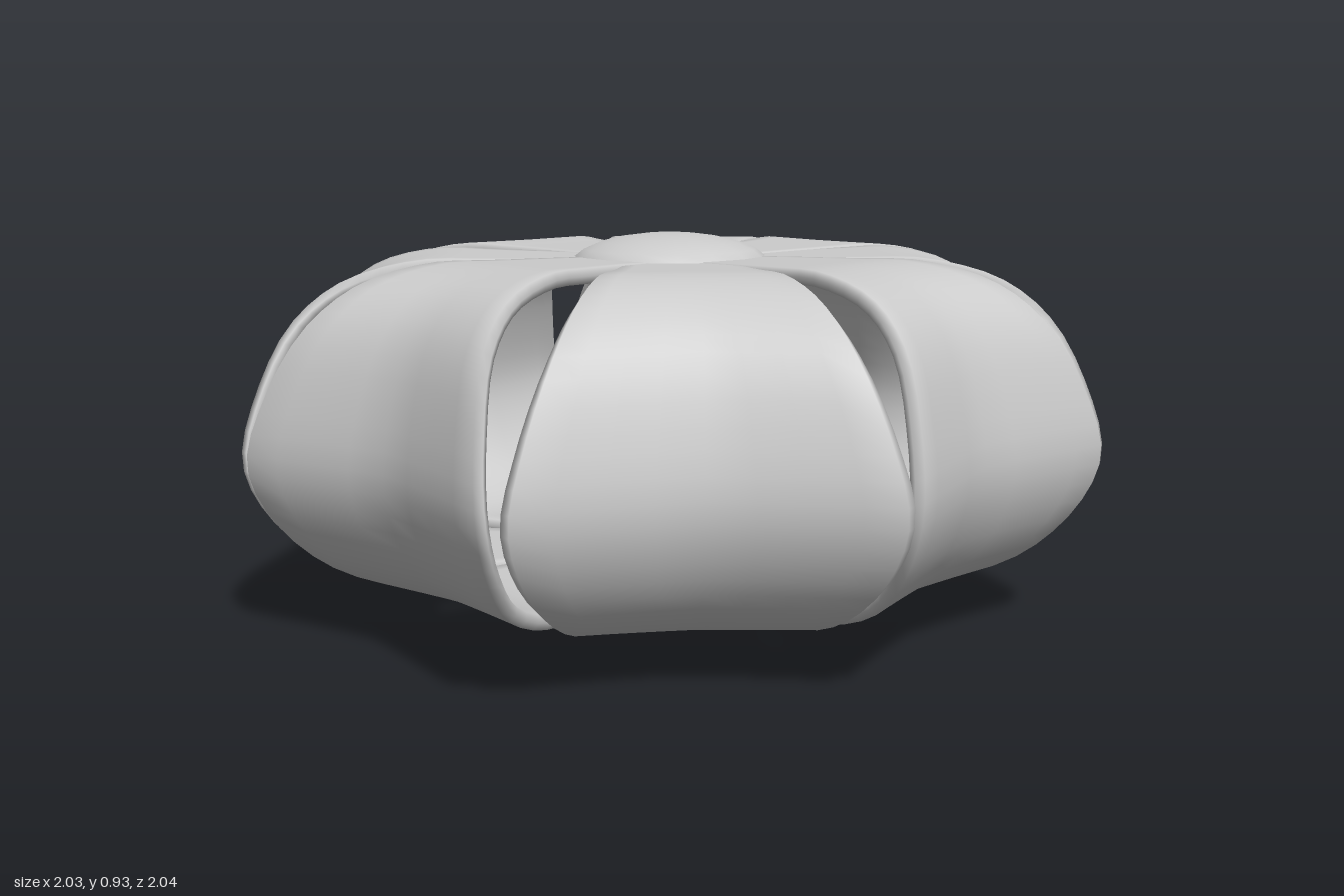
import * as THREE from 'three';

const THICK = 0.035;

// centre line of one ribbon loop as (reach, height, half width)
const LOOP_PATH = new THREE.CatmullRomCurve3([
  [0.08, 0.865, 0.1], [0.43, 0.873, 0.165], [0.6, 0.873, 0.215], [0.74, 0.83, 0.265],
  [0.83, 0.74, 0.315], [0.89, 0.58, 0.375], [0.912, 0.42, 0.41], [0.87, 0.28, 0.38],
  [0.78, 0.165, 0.315], [0.62, 0.092, 0.24], [0.43, 0.087, 0.17], [0.08, 0.095, 0.1],
].map((p) => new THREE.Vector3(...p)));

// closed cross-section as (across, depth): outer face, round edge, inner face, round edge
function ribbonSection() {
  const across = [-0.96, -0.75, -0.5, -0.25, 0, 0.25, 0.5, 0.75, 0.96];
  return [
    ...across.map((u) => [u, 0]),
    [1, THICK / 2],
    ...across.slice().reverse().map((u) => [u, THICK]),
    [-1, THICK / 2],
  ];
}

// sweeps the section along the loop, with the side edges pushed outwards
function loopGeometry() {
  const section = ribbonSection();
  const steps = 36, n = section.length;
  const pos = [], index = [];
  for (let i = 0; i <= steps; i++) {
    const p = LOOP_PATH.getPoint(i / steps);
    const t = LOOP_PATH.getTangent(i / steps);
    const len = Math.hypot(t.x, t.y);
    const nr = -t.y / len, ny = t.x / len;
    const flare = 0.085 * Math.pow(p.x / 0.91, 4);
    for (const [u, depth] of section) {
      pos.push(
        p.x - nr * depth + flare * Math.pow(Math.abs(u), 1.2),
        p.y - ny * depth,
        u * p.z,
      );
    }
    if (i === steps) break;
    for (let j = 0; j < n; j++) {
      const a = i * n + j, b = i * n + (j + 1) % n;
      index.push(a, b, a + n, b, b + n, a + n);
    }
  }
  const g = new THREE.BufferGeometry();
  g.setAttribute('position', new THREE.Float32BufferAttribute(pos, 3));
  g.setIndex(index);
  g.computeVertexNormals();
  return g;
}

export function createModel() {
  const model = new THREE.Group();
  const material = new THREE.MeshStandardMaterial({ color: 0xcccccc, side: THREE.DoubleSide });
  const add = (name, geometry) => {
    const mesh = new THREE.Mesh(geometry, material);
    mesh.name = name;
    model.add(mesh);
    return mesh;
  };

  // ring of eight slightly uneven ribbon loops
  const loop = loopGeometry();
  [0, 45, 90, 137, 183.5, 232, 278.5, 320.5].forEach((deg, i) => {
    const mesh = add(`ribbonLoop${i + 1}`, loop);
    mesh.rotation.y = -THREE.MathUtils.degToRad(deg);
    mesh.position.y = 0.003 * (i % 2);
  });

  // shallow buttons above and below the crossing
  const top = add('topButton', new THREE.SphereGeometry(0.25, 16, 12));
  top.scale.y = 0.08 / 0.25;
  top.position.y = 0.847;
  const bottom = add('bottomButton', new THREE.SphereGeometry(0.29, 16, 12));
  bottom.scale.y = 0.115 / 0.29;
  bottom.position.y = 0.115;

  // gathered core holding the loops together
  const profile = [];
  for (let i = 0; i <= 32; i++) {
    const t = i / 32;
    profile.push(new THREE.Vector2(0.15 + 0.04 * Math.abs(Math.sin(t * Math.PI * 4)), 0.1 + 0.76 * t));
  }
  add('core', new THREE.LatheGeometry(profile, 20));

  return model;
}
